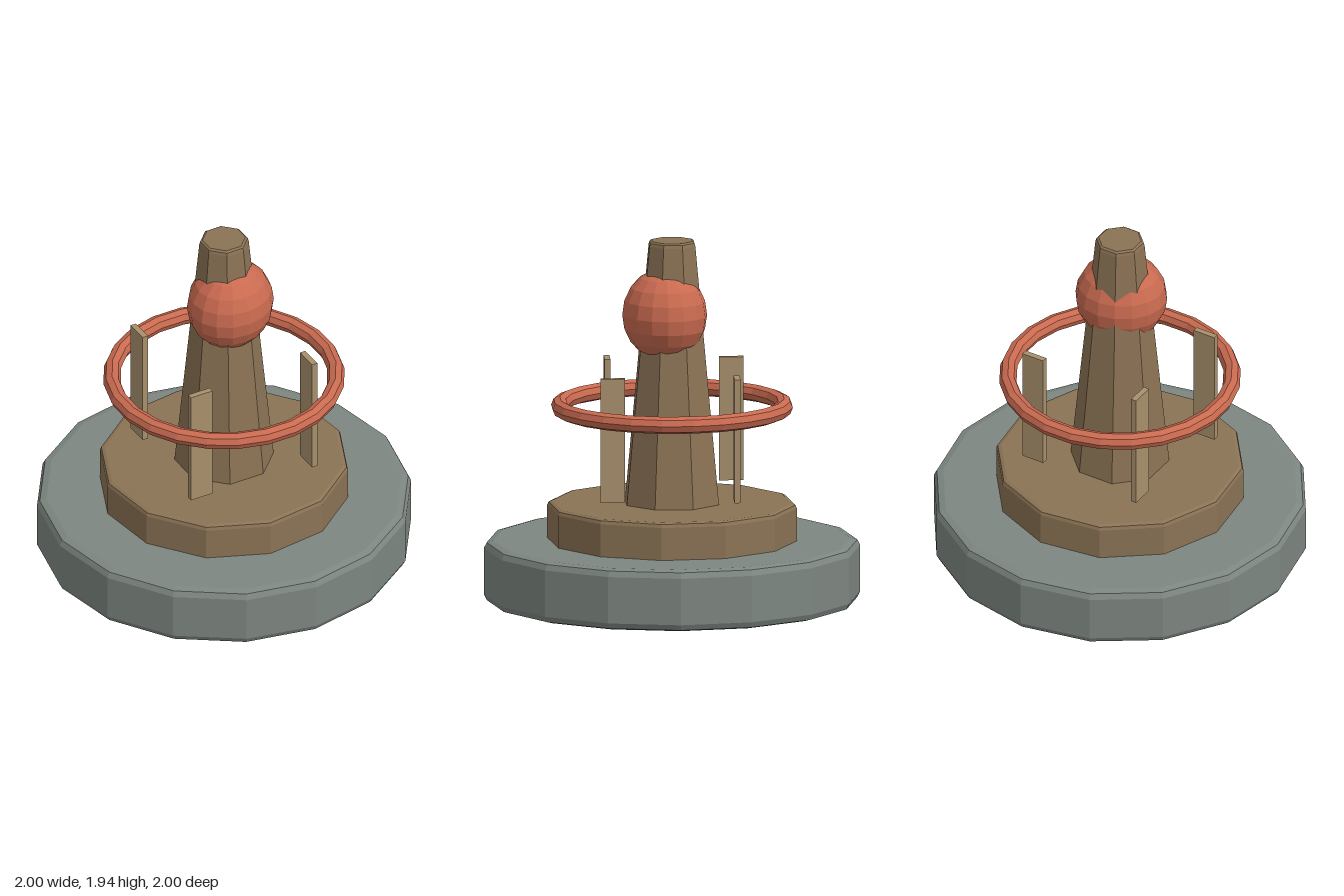
import * as THREE from 'three';

const material = (color) => new THREE.MeshStandardMaterial({ color, flatShading: true });

export function createModel() {
  const model = new THREE.Group();
  const stone = material(0x7d8680);
  const wood = material(0x8b7355);
  const paleWood = material(0xa8906c);
  const red = material(0xc96a50);

  const add = (name, geometry, mat) => {
    const mesh = new THREE.Mesh(geometry, mat);
    mesh.name = name;
    model.add(mesh);
    return mesh;
  };
  // Faceted turned part; profile runs from bottom to top as [radius, y]
  const turned = (name, profile, sides, mat) =>
    add(name, new THREE.LatheGeometry(profile.map(([r, y]) => new THREE.Vector2(r, y)), sides), mat);

  // Stepped foot
  turned('base', [[0, 0], [0.95, 0], [0.985, 0.01], [1, 0.04], [1, 0.29], [0.985, 0.32], [0.95, 0.33], [0, 0.33]], 16, stone);
  turned('plinth', [[0, 0.32], [0.665, 0.32], [0.665, 0.505], [0.658, 0.523], [0.64, 0.53], [0, 0.53]], 12, wood);

  // Tapered column with a small chamfer at the top
  turned('column', [[0, 0.52], [0.266, 0.52], [0.132, 1.915], [0.127, 1.932], [0.115, 1.94], [0, 1.94]], 8, wood);

  // Slightly flattened ball set forward on the column
  const ball = add('ball', new THREE.SphereGeometry(0.246, 16, 10), red);
  ball.scale.z = 0.9;
  ball.position.set(0, 1.543, 0.043);

  // Horizontal hoop
  const hoop = add('hoop', new THREE.TorusGeometry(0.598, 0.046, 8, 24), red);
  hoop.rotation.x = Math.PI / 2;
  hoop.position.y = 1.047;

  // Four upright slats around the column
  for (let i = 0; i < 4; i++) {
    const a = -Math.PI / 8 + (i * Math.PI) / 2;
    const slat = add('slat', new THREE.BoxGeometry(0.13, 0.665, 0.032), paleWood);
    slat.position.set(0.467 * Math.cos(a), 0.922, 0.467 * Math.sin(a));
    slat.rotation.y = a;
  }

  return model;
}
